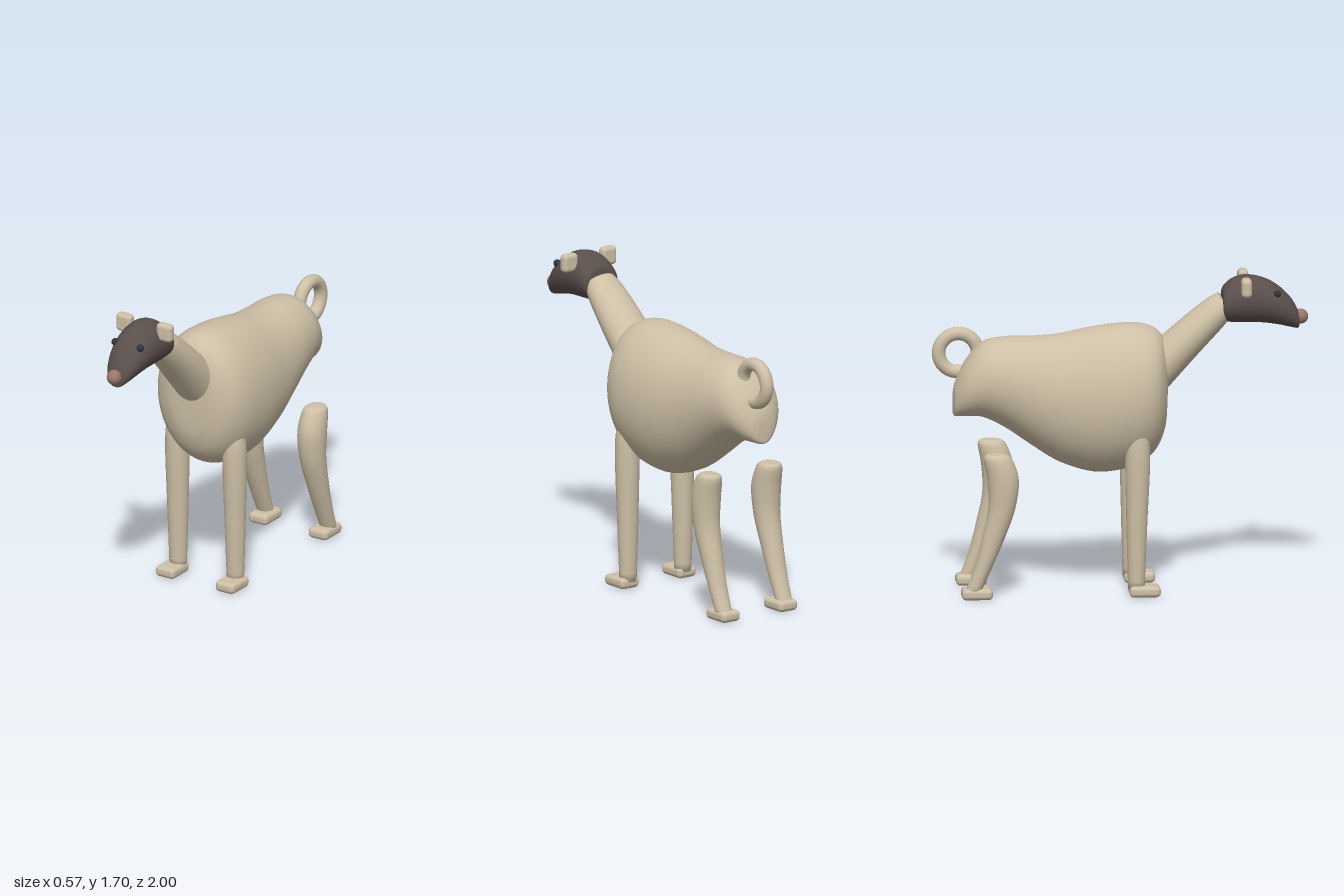
import * as THREE from 'three';
import { RoundedBoxGeometry } from 'three/addons/geometries/RoundedBoxGeometry.js';

const coat = new THREE.MeshStandardMaterial({ color: 0xcdbfa5 });
const dark = new THREE.MeshStandardMaterial({ color: 0x5a4f4b });
const pink = new THREE.MeshStandardMaterial({ color: 0x9c7769 });
const eyeMat = new THREE.MeshStandardMaterial({ color: 0x30343c });

// Smooth closed loft of ellipses along +z; each section is [z, bottom, top, halfWidth]
function loft(sections, sides = 40, steps = 48) {
  const edges = new THREE.CatmullRomCurve3(
    sections.map(([z, lo, hi]) => new THREE.Vector3(lo, hi, z)), false, 'catmullrom');
  const widths = new THREE.CatmullRomCurve3(
    sections.map(s => new THREE.Vector3(s[3], 0, 0)), false, 'catmullrom');
  const pos = [], index = [];
  for (let i = 0; i <= steps; i++) {
    const e = edges.getPoint(i / steps), w = widths.getPoint(i / steps).x;
    for (let j = 0; j < sides; j++) {
      const a = (j / sides) * Math.PI * 2;
      pos.push(w * Math.cos(a), (e.x + e.y) / 2 + ((e.y - e.x) / 2) * Math.sin(a), e.z);
    }
  }
  const first = (steps + 1) * sides, last = first + 1;
  for (const s of [sections[0], sections[sections.length - 1]]) pos.push(0, (s[1] + s[2]) / 2, s[0]);
  for (let j = 0; j < sides; j++) {
    const k = (j + 1) % sides;
    for (let i = 0; i < steps; i++) {
      const a = i * sides + j, b = i * sides + k;
      index.push(a, b, a + sides, b, b + sides, a + sides);
    }
    index.push(first, k, j, last, steps * sides + j, steps * sides + k);
  }
  const g = new THREE.BufferGeometry();
  g.setAttribute('position', new THREE.Float32BufferAttribute(pos, 3));
  g.setIndex(index);
  g.computeVertexNormals();
  return g;
}

export function createModel() {
  const model = new THREE.Group();
  const add = (name, geometry, material, x = 0, y = 0, z = 0) => {
    const m = new THREE.Mesh(geometry, material);
    m.name = name;
    m.position.set(x, y, z);
    model.add(m);
    return m;
  };

  // Body, from rump to chest
  add('body', loft([
    [-0.89, 0.965, 1.09, 0.04], [-0.875, 0.955, 1.15, 0.085], [-0.82, 0.956, 1.26, 0.145],
    [-0.73, 0.95, 1.355, 0.185], [-0.61, 0.89, 1.38, 0.21], [-0.48, 0.8, 1.38, 0.23],
    [-0.33, 0.705, 1.39, 0.252], [-0.15, 0.647, 1.425, 0.278], [0, 0.655, 1.442, 0.285],
    [0.11, 0.69, 1.44, 0.272], [0.19, 0.765, 1.41, 0.23], [0.235, 0.87, 1.35, 0.15],
    [0.247, 0.98, 1.26, 0.08],
  ], 48, 72), coat);

  // Neck, tilted up toward the head
  add('neck', loft([
    [0, -0.15, 0.08, 0.13], [0.25, -0.115, 0.085, 0.125],
    [0.45, -0.09, 0.08, 0.108], [0.54, -0.07, 0.065, 0.09],
  ]), coat, 0, 1.2, 0.15).rotation.x = -0.705;

  // Head with a tapering, drooping snout
  add('head', loft([
    [0.54, 1.47, 1.6, 0.09], [0.55, 1.45, 1.635, 0.11], [0.594, 1.442, 1.675, 0.117],
    [0.663, 1.44, 1.695, 0.12], [0.754, 1.437, 1.68, 0.115], [0.834, 1.426, 1.638, 0.102],
    [0.905, 1.41, 1.57, 0.078], [0.945, 1.403, 1.5, 0.05], [0.952, 1.42, 1.475, 0.025],
  ]), dark);
  add('nose', new THREE.SphereGeometry(0.04, 24, 16), pink, 0, 1.465, 0.96);

  // Curled tail, a ring open toward the rump with rounded tips
  const tail = new THREE.Group();
  tail.name = 'tail';
  tail.position.set(0.04, 1.29, -0.86);
  tail.rotation.y = Math.PI / 2;
  const R = 0.103, r = 0.036, arc = Math.PI * 1.55;
  const ring = new THREE.Mesh(new THREE.TorusGeometry(R, r, 20, 56, arc), coat);
  ring.name = 'tailRing';
  ring.rotation.z = -Math.PI * 0.53;
  for (const a of [0, arc]) {
    const tip = new THREE.Mesh(new THREE.SphereGeometry(r, 20, 14), coat);
    tip.name = 'tailTip';
    tip.position.set(R * Math.cos(a), R * Math.sin(a), 0);
    ring.add(tip);
  }
  tail.add(ring);
  model.add(tail);

  // Leg profiles run upward: [height, -frontZ, -backZ, halfWidth]
  const frontLeg = loft([
    [0.04, -0.115, -0.027, 0.047], [0.4, -0.13, -0.018, 0.058], [0.75, -0.145, -0.012, 0.065],
    [0.89, -0.13, -0.026, 0.052], [0.94, -0.1, -0.055, 0.025],
  ], 28, 32);
  const hindLeg = loft([
    [0.04, 0.757, 0.842, 0.045], [0.18, 0.695, 0.79, 0.052], [0.34, 0.627, 0.75, 0.061],
    [0.5, 0.572, 0.718, 0.071], [0.65, 0.556, 0.724, 0.077], [0.755, 0.59, 0.742, 0.066],
    [0.782, 0.62, 0.728, 0.045], [0.786, 0.65, 0.70, 0.02],
  ], 28, 40);
  const foot = new RoundedBoxGeometry(0.12, 0.06, 0.165, 4, 0.024);
  const ear = new RoundedBoxGeometry(0.095, 0.1, 0.055, 4, 0.022);

  // Mirrored pairs
  for (const [side, s] of [['left', 1], ['right', -1]]) {
    add(side + 'FrontLeg', frontLeg, coat, s * 0.182).rotation.x = -Math.PI / 2;
    add(side + 'HindLeg', hindLeg, coat, s * 0.2).rotation.x = -Math.PI / 2;
    add(side + 'FrontFoot', foot, coat, s * 0.19, 0.032, 0.115);
    add(side + 'HindFoot', foot, coat, s * 0.19, 0.032, -0.778);
    add(side + 'Ear', ear, coat, s * 0.128, 1.65, 0.662);
    add(side + 'Eye', new THREE.SphereGeometry(0.02, 16, 12), eyeMat, s * 0.08, 1.605, 0.83);
  }
  return model;
}
